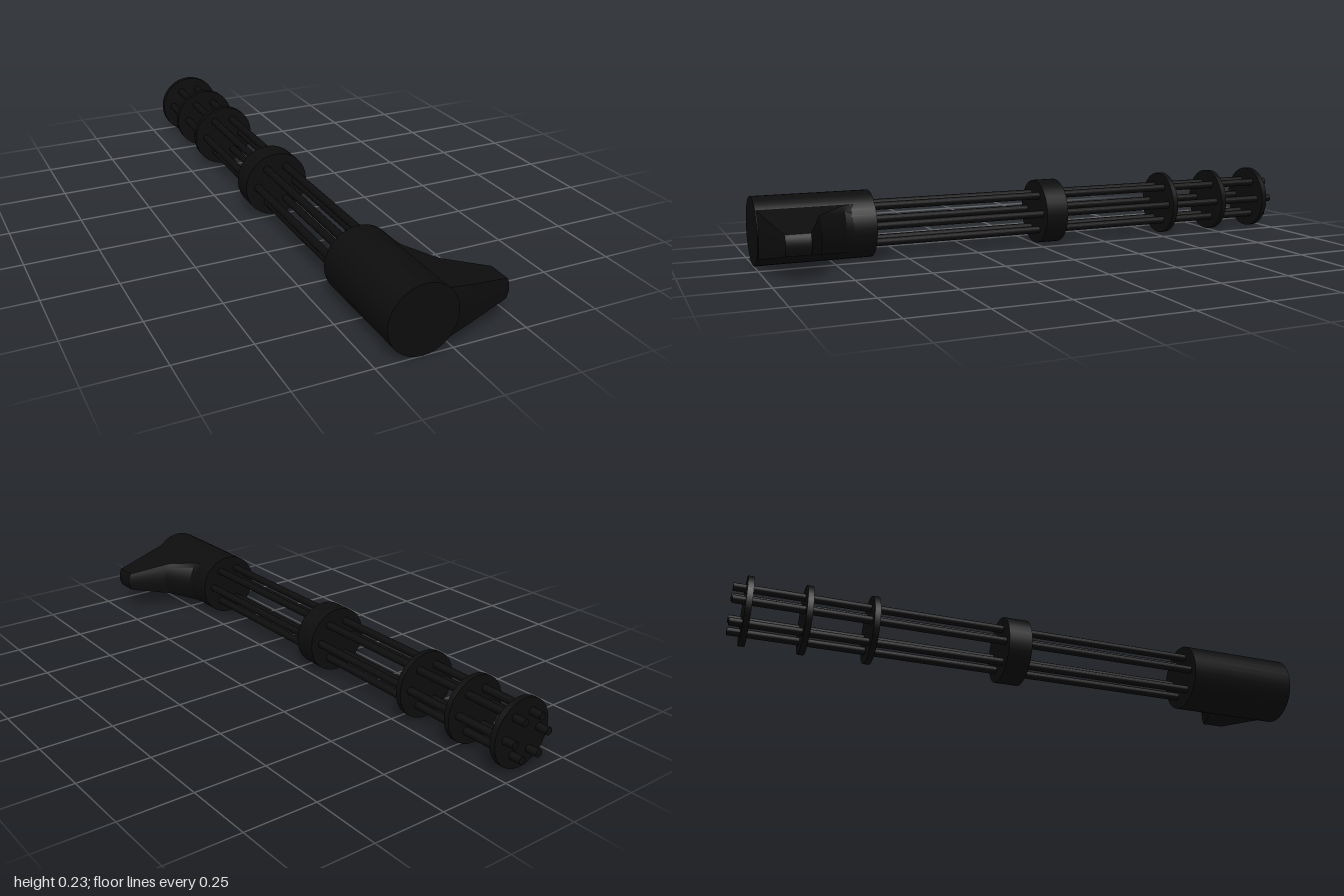
import * as THREE from 'three';
import { toCreasedNormals } from 'three/addons/utils/BufferGeometryUtils.js';

const AXIS_X = -0.1, AXIS_Y = 0.115, RADIUS = 0.115;
const dark = new THREE.MeshStandardMaterial({ color: 0x0d0d0d });

// Capped cylinder lying along z between two depths
function rod(name, radius, zFront, zBack, x = 0, y = 0, sides = 32) {
  const geo = new THREE.CylinderGeometry(radius, radius, zFront - zBack, sides).rotateX(Math.PI / 2);
  const mesh = new THREE.Mesh(geo, dark);
  mesh.name = name;
  mesh.position.set(AXIS_X + x, AXIS_Y + y, (zFront + zBack) / 2);
  return mesh;
}

// Tapered side grip lofted outwards through curved sections
function sideGrip() {
  const N = 8, pos = [], idx = [];
  const sections = [ // edge x, bulge, half height, back z, front z
    [-0.02, 0.033, 0.081, 0.67, 0.998],
    [-0.012, 0.03, 0.0795, 0.715, 0.996],
    [0.06, 0.02, 0.064, 0.81, 0.982],
    [0.205, 0.009, 0.034, 0.87, 0.95],
  ];
  const count = 2 * (N + 1);
  sections.forEach(([x, bulge, half, back, front]) => {
    for (let i = 0; i < count; i++) {
      const onBack = i <= N;
      const t = (onBack ? i : count - 1 - i) / N * 2 - 1;
      pos.push(x + bulge * (1 - t * t), AXIS_Y + half * t, onBack ? back : front);
    }
  });
  for (let k = 0; k < sections.length - 1; k++) {
    for (let i = 0; i < count; i++) {
      const j = (i + 1) % count;
      const a = k * count + i, b = k * count + j;
      idx.push(a, b, b + count, a, b + count, a + count);
    }
  }
  // Outer end face
  const end = (sections.length - 1) * count;
  for (let i = 0; i < N; i++) {
    const a = end + i, d = end + count - 1 - i;
    idx.push(a, a + 1, d - 1, a, d - 1, d);
  }
  const geo = new THREE.BufferGeometry();
  geo.setAttribute('position', new THREE.Float32BufferAttribute(pos, 3));
  geo.setIndex(idx);
  const mesh = new THREE.Mesh(toCreasedNormals(geo, 0.4), dark);
  mesh.name = 'sideGrip';
  return mesh;
}

export function createModel() {
  const model = new THREE.Group();
  model.name = 'rotaryBarrelAssembly';

  // Housing and grip
  model.add(rod('housing', RADIUS, 1, 0.61), sideGrip());

  // Six parallel barrels around the axis
  const barrels = new THREE.Group();
  barrels.name = 'barrels';
  for (let i = 0; i < 6; i++) {
    const a = i * Math.PI / 3;
    barrels.add(rod('barrel', 0.0135, 0.63, -1, 0.072 * Math.cos(a), 0.072 * Math.sin(a), 16));
  }
  model.add(barrels);

  // Thick middle collar and thin clamp discs
  model.add(rod('middleCollar', RADIUS, -0.01, -0.092));
  for (const z of [-0.543, -0.76, -0.949]) {
    model.add(rod('clampDisc', RADIUS, z + 0.01, z - 0.01));
  }
  return model;
}
